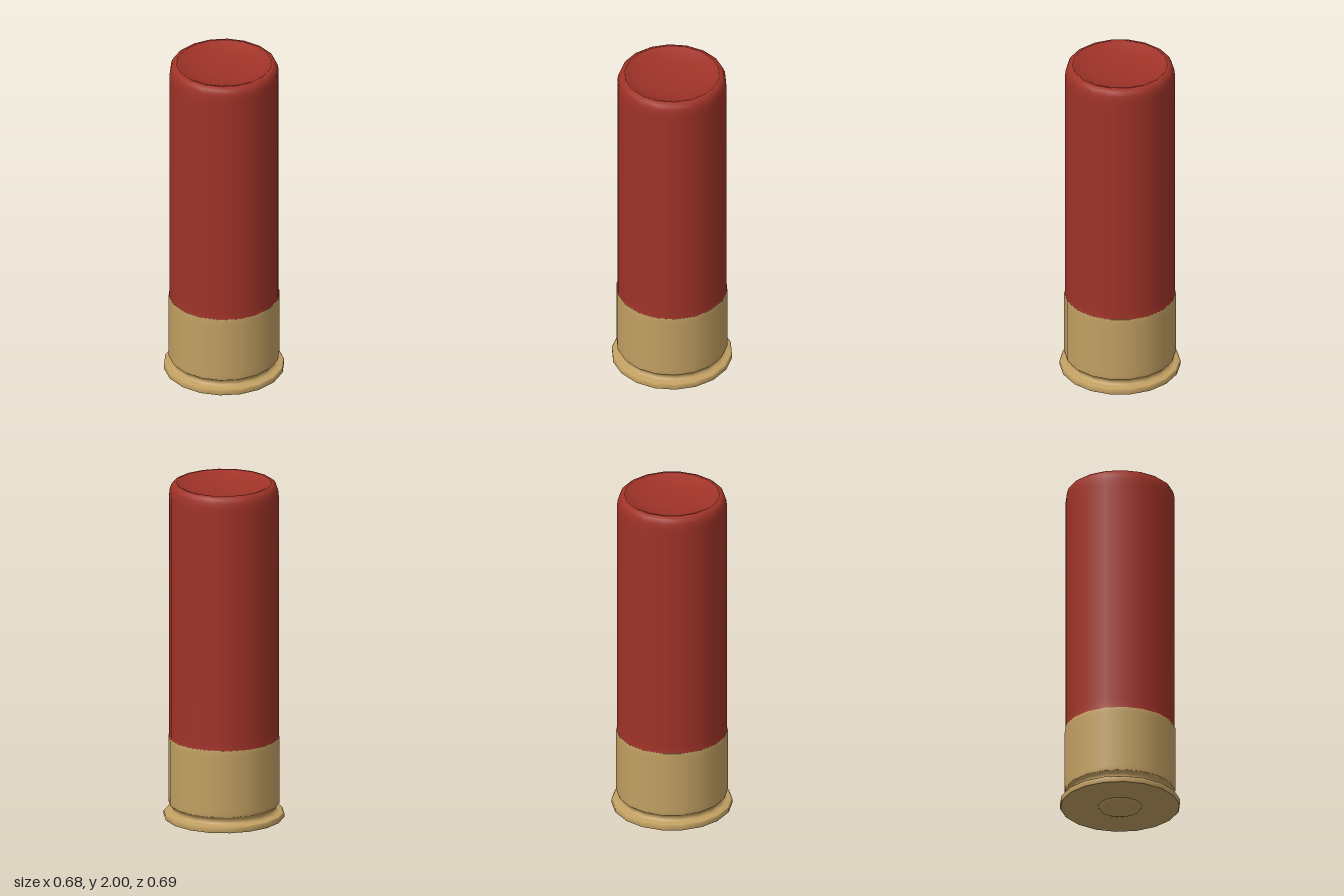
import * as THREE from 'three';

const SIDES = 18;

export function createModel() {
  const model = new THREE.Group();
  const red = new THREE.MeshStandardMaterial({ color: 0xa03328 });
  red.name = 'red plastic';
  const brass = new THREE.MeshStandardMaterial({ color: 0xc2a062 });
  brass.name = 'brass';

  // Each part is a smooth profile of [radius, height] turned about y
  const turn = (name, material, profile) => {
    const points = profile.map(([r, y]) => new THREE.Vector2(r, y));
    const mesh = new THREE.Mesh(new THREE.LatheGeometry(points, SIDES), material);
    mesh.name = name;
    model.add(mesh);
  };

  // Underside with the slightly proud primer
  turn('primer', brass, [[0, 0], [0.1, 0], [0.118, 0.003], [0.125, 0.014]]);
  turn('baseUnderside', brass, [[0.118, 0.017], [0.15, 0.014], [0.2, 0.013], [0.34, 0.013]]);

  // Extraction rim and the groove above it
  turn('rim', brass, [[0.34, 0.013], [0.345, 0.018], [0.345, 0.042], [0.338, 0.05], [0.3, 0.054]]);
  turn('groove', brass, [[0.315, 0.053], [0.298, 0.058], [0.296, 0.075], [0.304, 0.088], [0.318, 0.1]]);

  // Brass cup with a softened top lip
  turn('brassCup', brass, [[0.317, 0.098], [0.319, 0.11], [0.319, 0.13], [0.319, 0.46], [0.319, 0.485], [0.317, 0.494]]);
  turn('brassLip', brass, [[0.318, 0.494], [0.308, 0.495]]);

  // Plastic tube with a rounded mouth
  turn('tube', red, [
    [0.317, 0.494], [0.314, 0.5], [0.3135, 0.54], [0.3135, 1.9], [0.3135, 1.935],
    [0.31, 1.965], [0.301, 1.988], [0.287, 1.999], [0.272, 2],
  ]);

  // Dished closure inside the mouth
  turn('dishedEnd', red, [[0.272, 2], [0.255, 1.995], [0.23, 1.982], [0.17, 1.966], [0.09, 1.956], [0, 1.953]]);

  return model;
}
